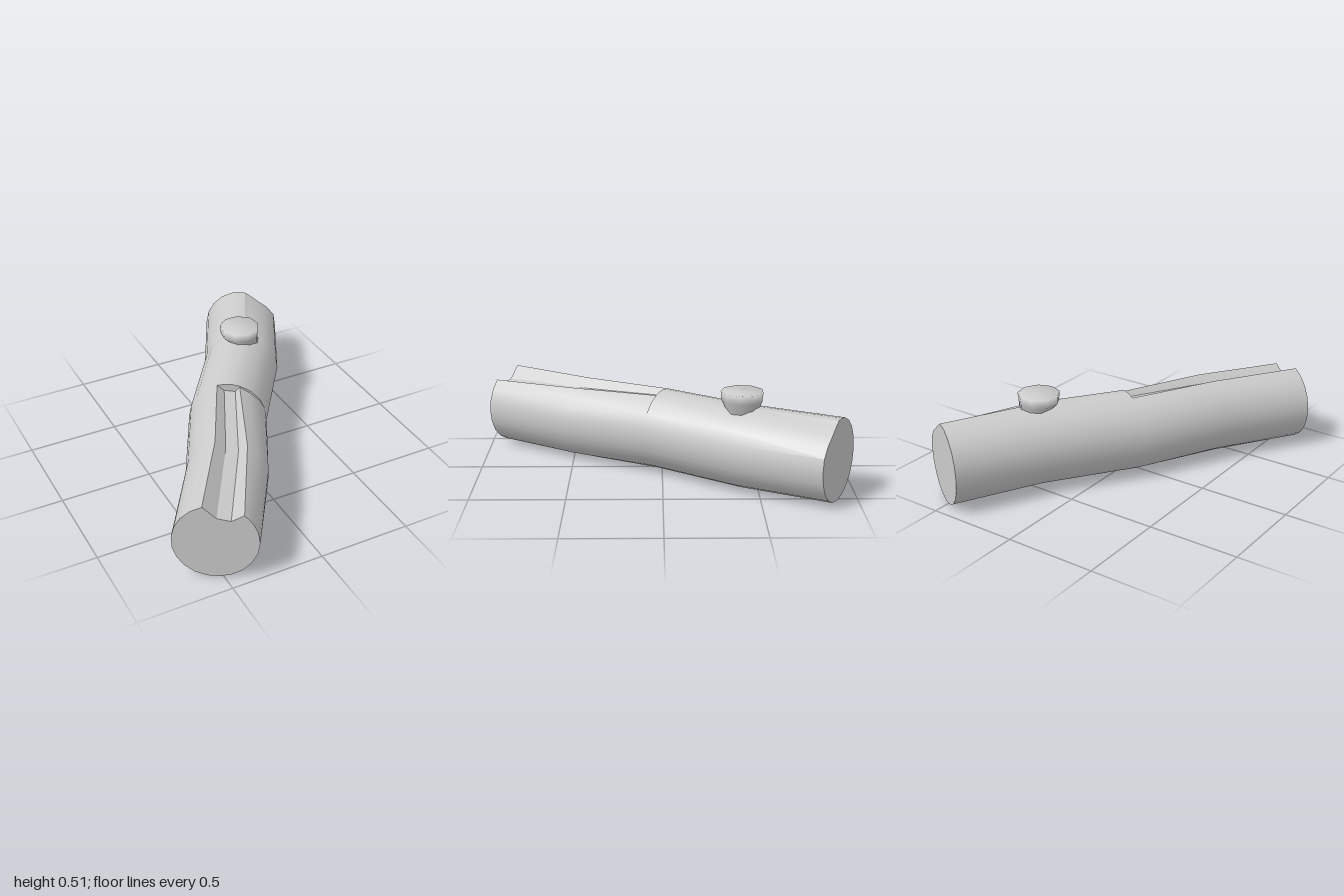
import * as THREE from 'three';
import { toCreasedNormals } from 'three/addons/utils/BufferGeometryUtils.js';

const lerp = THREE.MathUtils.lerp;
const RX = 0.214, RY = 0.22, ARC = 18;
const material = () => new THREE.MeshStandardMaterial({ color: 0xcccccc });

// Cross-section [u, v] points, counter-clockwise seen from the front end.
// t: 0 at the front end, 1 at mid length. dent flattens the upper +u shoulder.
function section(t, groove, dent) {
  const start = lerp(107, 106, t), end = lerp(50, 72, t);
  const onRim = (deg) => {
    const d = ((deg % 360) + 360) % 360;
    const s = d > 25 && d < 85 ? Math.sin((d - 25) / 60 * Math.PI) : 0;
    const a = THREE.MathUtils.degToRad(d), k = 1 - dent * s;
    return [Math.cos(a) * RX * k, Math.sin(a) * RY * k];
  };
  const points = [];
  for (let i = 0; i <= ARC; i++) points.push(onRim(lerp(start, end + 360, i / ARC)));
  // Two more points: the groove floor, or the closed round top
  if (groove) {
    points.push([lerp(0.075, 0.04, t), lerp(0.13, 0.175, t)]);
    points.push([lerp(0.006, -0.02, t), lerp(0.145, 0.18, t)]);
  } else {
    points.push(onRim(lerp(end, start, 1 / 3)), onRim(lerp(end, start, 2 / 3)));
  }
  return points;
}

function createLog() {
  // Crooked centre line; the doubled middle ring makes the step where the groove ends
  const rings = [
    { x: -0.535, z: 0.887, s: section(0, true, 0) },
    { x: -0.25, z: 0.45, s: section(0.5, true, 0.01) },
    { x: -0.015, z: -0.003, s: section(1, true, 0.05) },
    { x: -0.015, z: -0.003, s: section(1, false, 0) },
    { x: 0.295, z: -0.44, s: section(1, false, 0) },
    { x: 0.527, z: -0.89, s: section(1, false, 0.13) },
  ];
  const n = rings[0].s.length;
  const positions = [], index = [];
  for (const { x, z, s } of rings) {
    for (const [u, v] of s) positions.push(x + u * 0.866, RY + v, z + u * 0.5);
  }
  // Bark
  for (let r = 0; r < rings.length - 1; r++) {
    for (let j = 0; j < n; j++) {
      const a = r * n + j, b = r * n + (j + 1) % n;
      index.push(a, a + n, b, b, a + n, b + n);
    }
  }
  // Cut ends
  const last = rings.length - 1, front = rings.length * n, back = front + 1;
  positions.push(rings[0].x, RY, rings[0].z, rings[last].x, RY, rings[last].z);
  for (let j = 0; j < n; j++) {
    const k = (j + 1) % n;
    index.push(front, j, k, back, last * n + k, last * n + j);
  }
  const geometry = new THREE.BufferGeometry();
  geometry.setAttribute('position', new THREE.Float32BufferAttribute(positions, 3));
  geometry.setIndex(index);
  const mesh = new THREE.Mesh(toCreasedNormals(geometry, 0.5), material());
  mesh.name = 'log';
  return mesh;
}

// Cut branch stub: flat top, narrowing and leaning into the log
function createStub() {
  const profile = [[0, 0.36], [0.07, 0.36], [0.085, 0.42], [0.108, 0.465], [0.113, 0.513], [0, 0.513]];
  const geometry = new THREE.LatheGeometry(profile.map(([r, y]) => new THREE.Vector2(r, y)), 9);
  const p = geometry.attributes.position;
  for (let i = 0; i < p.count; i++) {
    const low = Math.max(0, 0.465 - p.getY(i));
    p.setX(i, p.getX(i) + low * 0.6);
  }
  const mesh = new THREE.Mesh(geometry, material());
  mesh.position.set(0.27, 0, -0.415);
  mesh.name = 'branchStub';
  return mesh;
}

export function createModel() {
  const group = new THREE.Group();
  group.name = 'fallenLog';
  group.add(createLog(), createStub());
  return group;
}
